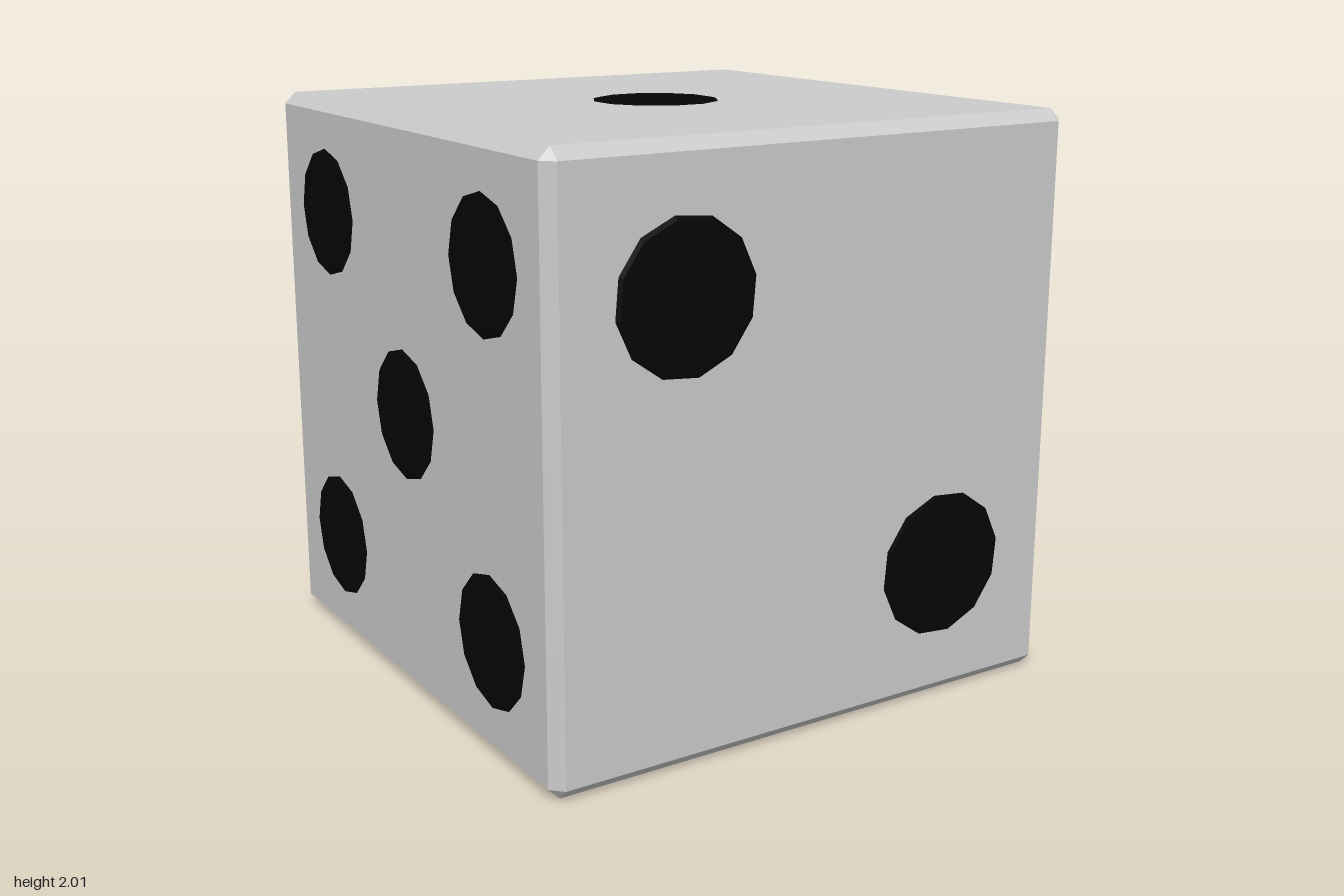
import * as THREE from 'three';
import { ConvexGeometry } from 'three/addons/geometries/ConvexGeometry.js';

const PIP_HEIGHT = 0.005;

// Cube of half size 1 with flat chamfers on its edges and corners
function chamferedCube(chamfer) {
  const inner = 1 - chamfer;
  const points = [];
  for (const x of [-1, 1]) for (const y of [-1, 1]) for (const z of [-1, 1]) {
    points.push(
      new THREE.Vector3(x, y * inner, z * inner),
      new THREE.Vector3(x * inner, y, z * inner),
      new THREE.Vector3(x * inner, y * inner, z)
    );
  }
  return new ConvexGeometry(points);
}

// Thin twelve-sided disc with a sloped rim, facing +z
function pipGeometry(radius, spin) {
  return new THREE.CylinderGeometry(radius - 0.02, radius, PIP_HEIGHT, 12)
    .rotateX(Math.PI / 2)
    .rotateZ(spin);
}

// All four corners of a rectangle
const corners = (x, y) => [[-x, y], [x, y], [-x, -y], [x, -y]];

export function createModel() {
  const group = new THREE.Group();
  group.name = 'die';

  const bodyMaterial = new THREE.MeshStandardMaterial({ color: 0xcccccc, flatShading: true });
  const pipMaterial = new THREE.MeshStandardMaterial({ color: 0x050505, flatShading: true });

  const body = new THREE.Mesh(chamferedCube(0.04), bodyMaterial);
  body.name = 'body';
  body.position.y = 1;
  group.add(body);

  // Pips of each face, laid out in the face's own x and y
  const q = Math.PI / 2;
  const faces = [
    { name: 'topPips', rot: [-q, 0], r: 0.228, spin: q / 6, at: [[0, 0]] },
    { name: 'frontPips', rot: [0, 0], r: 0.258, spin: q / 9, at: [[-0.525, 0.525], [0.52, -0.52]] },
    { name: 'bottomPips', rot: [q, 0], r: 0.228, spin: q / 6, at: [[-0.71, 0.71], [0, 0], [0.71, -0.71]] },
    { name: 'backPips', rot: [0, 2 * q], r: 0.223, spin: 0, at: corners(0.525, 0.525) },
    { name: 'fivePips', rot: [0, -q], r: 0.23, spin: 0, at: [...corners(0.6, 0.605), [0, 0]] },
    { name: 'sixPips', rot: [0, q], r: 0.235, spin: 0, at: [...corners(0.638, 0.512), [0, 0.512], [0, -0.512]] },
  ];

  for (const { name, rot, r, spin, at } of faces) {
    const face = new THREE.Group();
    face.name = name;
    face.position.y = 1;
    face.rotation.set(rot[0], rot[1], 0);
    const geometry = pipGeometry(r, spin);
    for (const [x, y] of at) {
      const pip = new THREE.Mesh(geometry, pipMaterial);
      pip.name = 'pip';
      pip.position.set(x, y, 1 + PIP_HEIGHT / 2 - 0.001);
      face.add(pip);
    }
    group.add(face);
  }
  return group;
}
